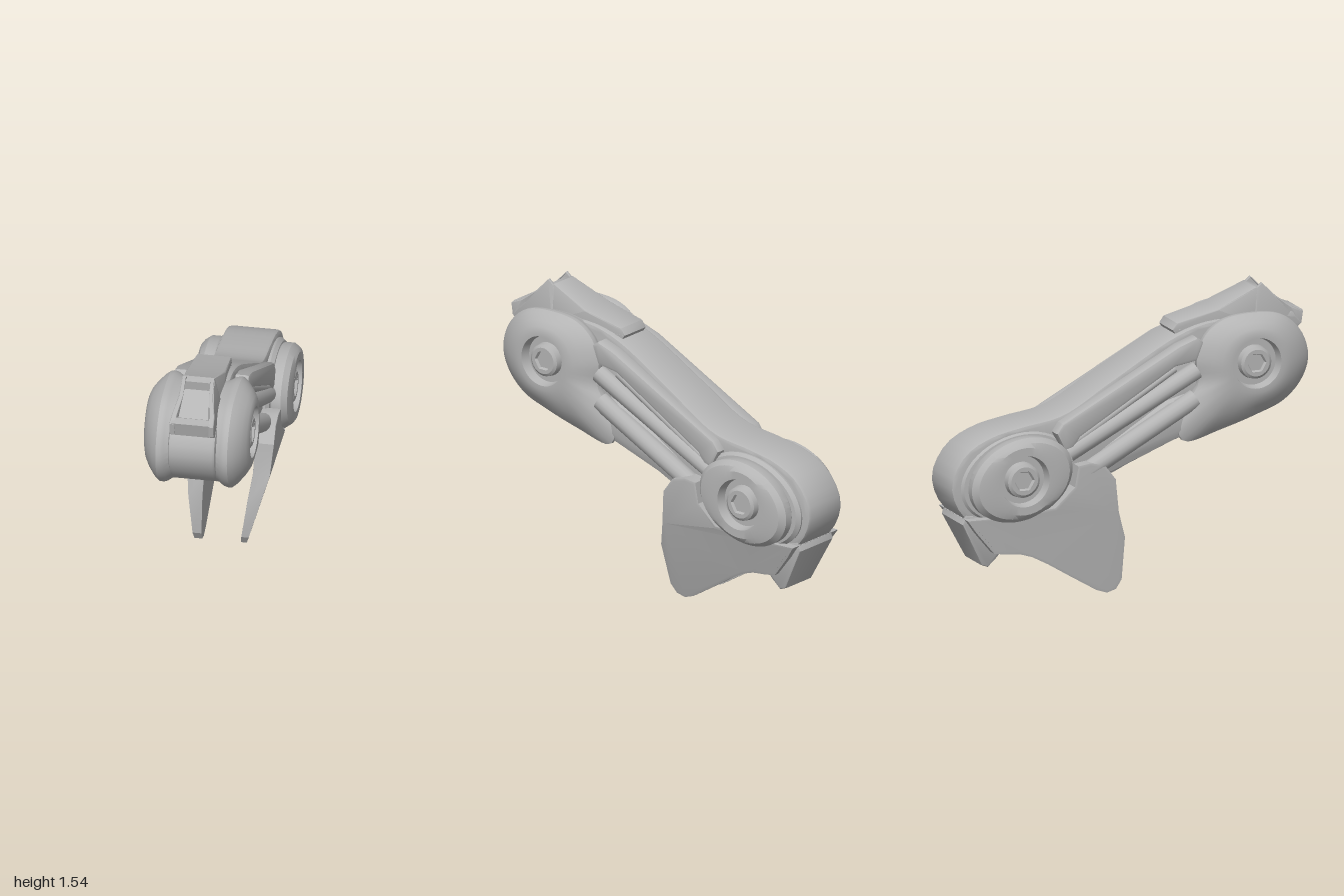
import * as THREE from 'three';
import { toCreasedNormals } from 'three/addons/utils/BufferGeometryUtils.js';

const grey = new THREE.MeshStandardMaterial({ color: 0xb4b4b4 });
grey.name = 'plain grey';

const { lerp, smoothstep } = THREE.MathUtils;

function add(parent, name, geometry, crease = 0.6) {
  const mesh = new THREE.Mesh(toCreasedNormals(geometry, crease), grey);
  mesh.name = name;
  parent.add(mesh);
}

// Side outlines are [u, y] with u = -z, seen from the model's left.
const toShape = (pts) => new THREE.Shape(pts.map(([u, y]) => new THREE.Vector2(u, y)));

// Smooth closed outline through a few points
function smoothOutline(pts, n) {
  const curve = new THREE.CatmullRomCurve3(pts.map(([u, y]) => new THREE.Vector3(u, y, 0)), true, 'centripetal');
  return curve.getSpacedPoints(n).slice(0, n).map((p) => [p.x, p.y]);
}

// Slab with a side outline, spanning x0..x1, with bevelled edges
function slab(pts, [x0, x1], bevel = 0.015) {
  const g = new THREE.ExtrudeGeometry(toShape(pts), {
    depth: x1 - x0 - 2 * bevel, bevelEnabled: bevel > 0, bevelSize: bevel,
    bevelOffset: -bevel, bevelThickness: bevel, bevelSegments: 2,
  });
  g.translate(0, 0, x0 + bevel);
  return g.rotateY(Math.PI / 2);
}

// Move vertices by a rule
function warp(g, rule) {
  const p = g.attributes.position;
  const v = new THREE.Vector3();
  for (let i = 0; i < p.count; i++) {
    v.fromBufferAttribute(p, i);
    rule(v);
    p.setXYZ(i, v.x, v.y, v.z);
  }
  return g;
}

// Domed cap: each level [x, r, t] blends a circle of radius r into the outline
function capGeometry(outline, [cu, cy], levels, side) {
  const pos = [], index = [], n = outline.length;
  for (const [x, r, t] of levels) {
    for (const [u, y] of outline) {
      const du = u - cu, dy = y - cy, d = Math.hypot(du, dy);
      const s = lerp(r, d, t) / d;
      pos.push(side * x, cy + dy * s, -(cu + du * s));
    }
  }
  for (let i = 0; i < levels.length - 1; i++) {
    for (let j = 0; j < n; j++) {
      const a = i * n + j, b = i * n + (j + 1) % n, c = b + n, d = a + n;
      if (side > 0) index.push(a, b, c, a, c, d);
      else index.push(a, c, b, a, d, c);
    }
  }
  const g = new THREE.BufferGeometry();
  g.setAttribute('position', new THREE.Float32BufferAttribute(pos, 3));
  g.setIndex(index);
  return g;
}

// Pivot bolt with a hexagonal socket
function addBolt(parent, name, [u, y], x, side, k) {
  const ring = [[0.135, -0.04], [0.095, -0.04], [0.09, -0.005], [0.075, 0.005], [0.055, 0.005]];
  const socket = [[0.058, 0.005], [0.05, -0.01], [0, -0.01]];
  for (const [part, profile, sides] of [[name, ring, 32], [name + 'Socket', socket, 6]]) {
    const g = new THREE.LatheGeometry(profile.map(([r, h]) => new THREE.Vector2(r * k, h)), sides);
    g.rotateZ(-side * Math.PI / 2).translate(side * x, y, -u);
    add(parent, part, g, 0.5);
  }
}

function addRod(parent, name, a, b, r) {
  const line = new THREE.LineCurve3(new THREE.Vector3(...a), new THREE.Vector3(...b));
  add(parent, name, new THREE.TubeGeometry(line, 1, r, 14), 0.7);
}

export function createModel() {
  const model = new THREE.Group();
  model.name = 'jointedLimb';

  // Central spine running between both joints, a little slimmer in front
  const spine = slab(smoothOutline([
    [-0.995, 1.19], [-0.955, 1.3], [-0.83, 1.365], [-0.62, 1.385], [-0.45, 1.38], [-0.27, 1.325], [0.1, 1.12],
    [0.37, 0.97], [0.6, 0.93], [0.78, 0.89], [0.92, 0.81], [1.0, 0.66], [0.97, 0.53], [0.9, 0.45],
    [0.75, 0.41], [0.55, 0.43], [0.4, 0.5], [0.2, 0.58], [0.1, 0.62], [-0.25, 0.77], [-0.55, 0.85],
    [-0.78, 0.93], [-0.93, 1.04],
  ], 80), [-0.125, 0.15], 0.02);
  add(model, 'spine', warp(spine, (v) => {
    if (v.x > 0) v.x *= lerp(1, 0.83, smoothstep(v.z, -0.4, 0.4));
  }));

  // Rounded underside filling the arm, tapering towards the rear
  add(model, 'belly', warp(slab([
    [-0.7, 0.92], [-0.5, 0.85], [-0.25, 0.775], [0.1, 0.63], [0.25, 0.6], [0.28, 0.72], [-0.2, 1.0], [-0.6, 1.1],
  ], [-0.195, 0.195], 0.06), (v) => { v.x *= lerp(0.8, 1, smoothstep(v.z, -0.25, 0.25)); }));

  // Hood over the front joint, narrowing upwards
  const hood = new THREE.Group();
  hood.name = 'hood';
  model.add(hood);
  const narrow = (v) => {
    v.x = (v.x + 0.005) * lerp(1, 0.72, smoothstep(v.y, 1.38, 1.5)) * lerp(0.78, 1, smoothstep(v.z, 0.25, 0.55));
  };
  add(hood, 'hoodTop', warp(slab([
    [-0.78, 1.52], [-0.74, 1.53], [-0.52, 1.44], [-0.29, 1.385], [-0.265, 1.35], [-0.3, 1.3], [-0.6, 1.33], [-0.75, 1.33],
  ], [-0.12, 0.11], 0.008), narrow));
  add(hood, 'hoodFloor', slab([[-0.93, 1.34], [-0.77, 1.47], [-0.7, 1.34], [-0.9, 1.28]], [-0.09, 0.085], 0));
  for (const span of [[-0.12, -0.092], [0.085, 0.113]]) {
    add(hood, 'hoodCheek', warp(slab([
      [-0.995, 1.385], [-0.93, 1.415], [-0.85, 1.475], [-0.775, 1.55], [-0.74, 1.52], [-0.72, 1.36], [-0.93, 1.28], [-0.985, 1.32],
    ], span, 0.006), narrow));
  }
  add(hood, 'hoodLip', slab([[-0.995, 1.39], [-0.95, 1.4], [-0.9, 1.37], [-0.92, 1.28], [-0.975, 1.31]], [-0.11, 0.1], 0.008));

  // Outlines of the joint caps
  const frontCentre = [-0.665, 1.175], rearCentre = [0.63, 0.665];
  const frontOutline = smoothOutline([
    [-0.36, 1.2], [-0.4, 1.32], [-0.5, 1.4], [-0.66, 1.425], [-0.84, 1.4], [-0.95, 1.3], [-0.99, 1.16],
    [-0.95, 1.04], [-0.85, 0.94], [-0.7, 0.88], [-0.5, 0.82], [-0.29, 0.775], [-0.255, 0.83], [-0.31, 0.98], [-0.37, 1.08],
  ], 64);
  const oval = (ru, ry) => Array.from({ length: 48 }, (_, i) => {
    const a = i / 48 * Math.PI * 2;
    return [rearCentre[0] + ru * Math.cos(a), rearCentre[1] + ry * Math.sin(a) - 0.12 * ru * Math.cos(a)];
  });

  for (const side of [-1, 1]) {
    const joint = new THREE.Group();
    joint.name = side > 0 ? 'leftJoints' : 'rightJoints';
    model.add(joint);
    const span = (a, b) => (side > 0 ? [a, b] : [-b, -a]);

    // Front joint
    add(joint, 'frontCap', capGeometry(frontOutline, frontCentre, [
      [0.09, 0.02, 0], [0.09, 0.1, 0.85], [0.125, 0.1, 0.88], [0.15, 0.1, 0.97], [0.168, 0.1, 1], [0.188, 0.1, 1],
      [0.212, 0.15, 0.86], [0.245, 0.17, 0.5], [0.267, 0.165, 0.22], [0.277, 0.16, 0], [0.277, 0.135, 0], [0.225, 0.125, 0],
    ], side), 0.5);
    addBolt(joint, 'frontBolt', frontCentre, 0.265, side, 0.95);

    // Rear joint, slightly offset to the left
    const rear = new THREE.Group();
    rear.name = 'rearJoint';
    rear.position.x = 0.022;
    joint.add(rear);
    add(rear, 'rearCollar', capGeometry(oval(0.325, 0.238), rearCentre, [
      [0.1, 0, 0.98], [0.14, 0, 1], [0.16, 0, 0.94], [0.165, 0, 0.8],
    ], side), 0.5);
    add(rear, 'rearCap', capGeometry(oval(0.285, 0.22), rearCentre, [
      [0.15, 0, 0.96], [0.17, 0, 1], [0.215, 0, 1], [0.245, 0, 0.9],
      [0.257, 0.17, 0.2], [0.257, 0.137, 0], [0.205, 0.127, 0],
    ], side), 0.5);
    addBolt(rear, 'rearBolt', rearCentre, 0.243, side, 1);

    // Upper rail and the rods below it
    add(joint, 'upperRail', slab([
      [-0.4, 1.3], [-0.36, 1.325], [-0.26, 1.29], [0.4, 0.94], [0.435, 0.89], [0.39, 0.8], [0.34, 0.8],
      [0.3, 0.86], [-0.24, 1.18], [-0.36, 1.2],
    ], span(0.11, 0.2), 0.018));
    add(joint, 'sideWeb', slab([
      [-0.4, 1.2], [-0.2, 1.2], [0.4, 0.82], [0.3, 0.62], [0.1, 0.66], [-0.35, 0.86],
    ], span(0.1, 0.15), 0.008));
    addRod(joint, 'upperRod', [side * 0.185, 1.15, 0.36], [side * 0.165, 0.77, -0.36], 0.047);
    addRod(joint, 'lowerRod', [side * 0.185, 1.0, 0.35], [side * 0.165, 0.665, -0.25], 0.05);
    addRod(joint, 'thinRod', [side * 0.175, 1.17, 0.24], [side * 0.17, 0.81, -0.36], 0.022);

    // Pointed fin, thinning and leaning towards its tip
    const [tipIn, tipOut, topIn, topOut] = side > 0 ? [0.07, 0.1, 0.145, 0.245] : [0.13, 0.17, 0.115, 0.215];
    const fin = slab([
      [0.11, 0.62], [0.17, 0.7], [0.25, 0.72], [0.32, 0.71], [0.34, 0.6], [0.45, 0.5], [0.7, 0.47], [0.93, 0.47],
      [0.88, 0.4], [0.78, 0.28], [0.72, 0.27], [0.64, 0.265], [0.57, 0.243], [0.48, 0.195], [0.35, 0.115], [0.2, 0.025], [0.14, 0.005],
      [0.09, 0.02], [0.06, 0.07], [0.05, 0.3], [0.09, 0.44],
    ], span(0, 1), 0.014);
    add(joint, 'fin', warp(fin, (v) => {
      const t = Math.min(v.y / 0.5, 1);
      const rearThin = lerp(1, 0.65, smoothstep(-v.z, 0.4, 0.9));
      v.x = side * lerp(lerp(tipIn, topIn, t), lerp(tipOut, topOut, t), Math.abs(v.x) * rearThin);
    }), 0.4);
  }

  // Block between the fins and the tail lug behind it
  add(model, 'finBridge', slab([
    [0.45, 0.45], [0.52, 0.36], [0.62, 0.275], [0.76, 0.275], [0.93, 0.47], [0.8, 0.55], [0.6, 0.5],
  ], [-0.125, 0.145], 0.012));
  const tail = slab([
    [0.7, 0.29], [0.73, 0.24], [0.78, 0.19], [0.82, 0.205], [0.94, 0.44], [0.92, 0.49], [0.8, 0.47],
  ], [-0.13, 0.152], 0.012);
  add(model, 'tailLug', warp(tail, (v) => {
    v.x = 0.01 + (v.x - 0.01) * lerp(0.78, 1, smoothstep(v.y, 0.19, 0.38));
  }));

  return model;
}
